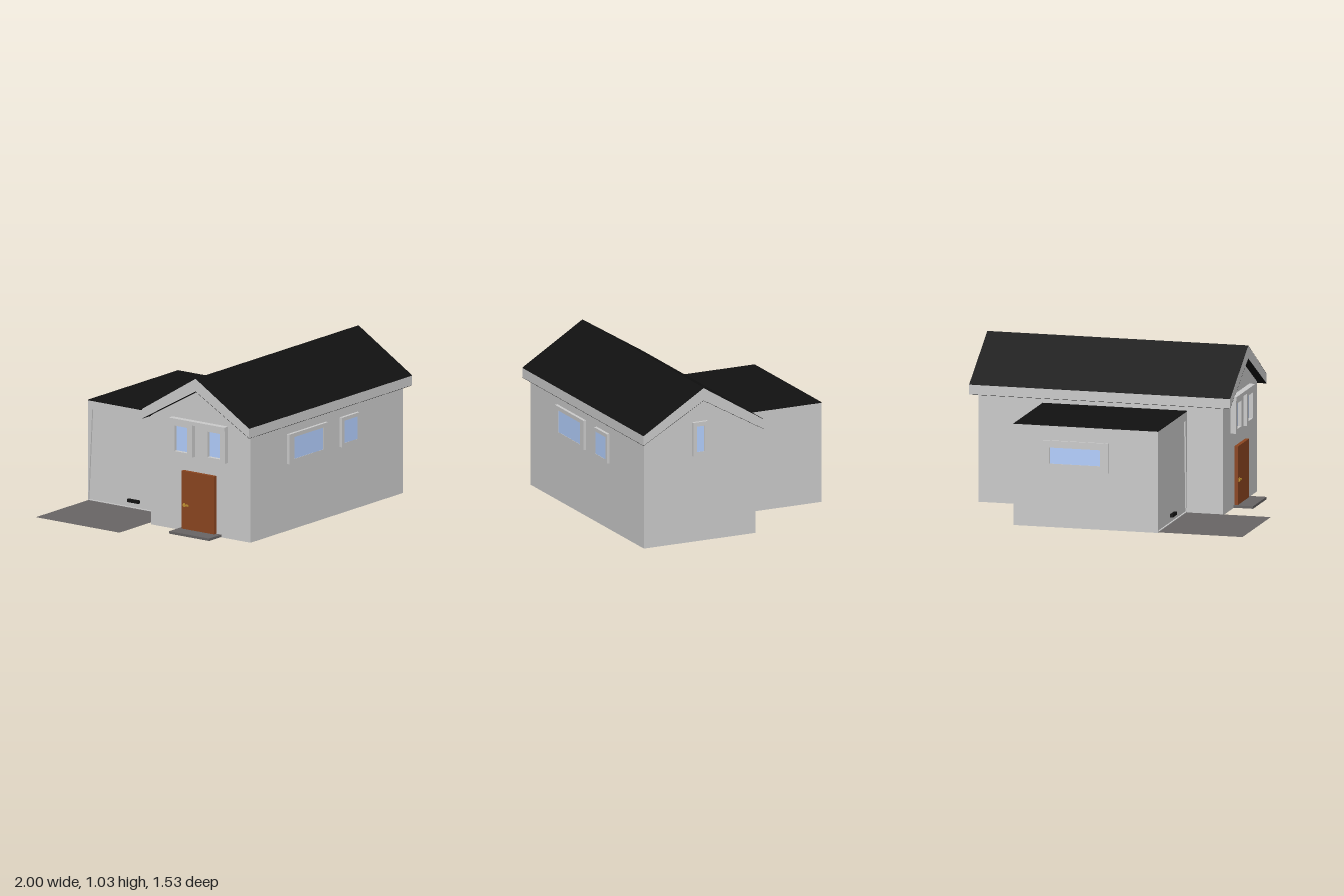
import * as THREE from 'three';

const mat = (color) => new THREE.MeshStandardMaterial({ color, side: THREE.DoubleSide });
const grey = mat(0xcccccc);
const black = mat(0x111111);
const glass = mat(0xb4d0ff);
const brown = mat(0x8c4620);
const brass = mat(0xc09030);
const paving = mat(0x686565);

function add(parent, name, geometry, material) {
  const mesh = new THREE.Mesh(geometry, material);
  mesh.name = name;
  parent.add(mesh);
  return mesh;
}

// box given by its lower and upper limits on each axis
function box(parent, name, [x0, x1], [y0, y1], [z0, z1], material) {
  const m = add(parent, name, new THREE.BoxGeometry(x1 - x0, y1 - y0, z1 - z0), material);
  m.position.set((x0 + x1) / 2, (y0 + y1) / 2, (z0 + z1) / 2);
  return m;
}

const toShape = (points) => new THREE.Shape(points.map(([a, b]) => new THREE.Vector2(a, b)));

// extrude a (z, y) outline along x from x0 to x1
function alongX(shape, x0, x1) {
  return new THREE.ExtrudeGeometry(shape, { depth: x1 - x0, bevelEnabled: false })
    .rotateY(-Math.PI / 2)
    .translate(x1, 0, 0);
}

// framed window facing +z before it is turned; its back lies on the wall
function addWindow(parent, name, { at, turn, w, h, mx, my, depth, recess }) {
  const group = new THREE.Group();
  group.name = name;
  const rect = (a, b) => [[-a, -b], [a, -b], [a, b], [-a, b]];
  const frame = toShape(rect(w / 2, h / 2));
  frame.holes.push(toShape(rect(w / 2 - mx, h / 2 - my)));
  add(group, 'windowFrame', new THREE.ExtrudeGeometry(frame, { depth, bevelEnabled: false }), grey);
  const pane = add(group, 'windowGlass', new THREE.PlaneGeometry(w - 2 * mx, h - 2 * my), glass);
  pane.position.z = depth - recess;
  group.position.set(...at);
  group.rotation.y = turn;
  parent.add(group);
}

export function createModel() {
  const house = new THREE.Group();
  house.name = 'house';
  const ridge = 0.335;

  // main block with gable ends
  const walls = toShape([[-0.065, 0], [0.735, 0], [0.735, 0.722], [ridge, 0.95], [-0.065, 0.722]]);
  add(house, 'mainWalls', alongX(walls, -0.68, 0.945), grey);

  // gabled roof: grey fascia body with dark upper and lower skins
  const roof = new THREE.Group();
  roof.name = 'roof';
  house.add(roof);
  const rx0 = -0.735, rx1 = 1;
  const fascia = toShape([
    [-0.095, 0.705], [ridge, 0.95], [0.765, 0.705],
    [0.765, 0.768], [ridge, 1.033], [-0.095, 0.768],
  ]);
  add(roof, 'roofFascia', alongX(fascia, rx0, rx1), grey);
  const skin = (name, eaveY, ridgeY) => {
    const s = toShape([
      [-0.095, eaveY], [ridge, ridgeY], [0.765, eaveY],
      [0.765, eaveY + 0.002], [ridge, ridgeY + 0.002], [-0.095, eaveY + 0.002],
    ]);
    add(roof, name, alongX(s, rx0, rx1), black);
  };
  skin('roofCovering', 0.768, 1.033);
  skin('roofUnderside', 0.703, 0.948);

  // garage with flat dark roof
  const garage = new THREE.Group();
  garage.name = 'garage';
  house.add(garage);
  box(garage, 'garageWalls', [-0.43, 0.52], [0.005, 0.666], [-0.75, -0.065], grey);
  box(garage, 'garageRoof', [-0.44, 0.52], [0.666, 0.67], [-0.75, -0.065], black);

  // surround that leaves the garage door slightly set back
  const surround = toShape([[-0.75, 0.005], [-0.065, 0.005], [-0.065, 0.666], [-0.75, 0.666]]);
  surround.holes.push(toShape([[-0.745, 0.012], [-0.07, 0.012], [-0.1, 0.61], [-0.715, 0.61]]));
  add(garage, 'garageDoorSurround', alongX(surround, -0.44, -0.43), grey);
  box(garage, 'garageDoorHandle', [-0.45, -0.43], [0.045, 0.065], [-0.43, -0.34], black);

  // driveway and doorstep
  const drive = add(house, 'driveway', new THREE.PlaneGeometry(0.56, 0.67).rotateX(-Math.PI / 2), paving);
  drive.position.set(-0.72, 0.008, -0.41);
  box(house, 'doorstep', [-0.81, -0.58], [0.002, 0.018], [0.18, 0.5], paving);

  // entrance door with lever handle
  box(house, 'frontDoor', [-0.705, -0.68], [0.018, 0.4], [0.2, 0.46], brown);
  box(house, 'doorHandlePlate', [-0.709, -0.705], [0.165, 0.19], [0.215, 0.23], brass);
  box(house, 'doorHandleLever', [-0.715, -0.709], [0.172, 0.183], [0.215, 0.26], brass);

  // windows on the long front wall
  addWindow(house, 'wideFrontWindow', {
    at: [-0.087, 0.54, 0.735], turn: 0, w: 0.413, h: 0.196, mx: 0.052, my: 0.026, depth: 0.02, recess: 0.002,
  });
  addWindow(house, 'smallFrontWindow', {
    at: [0.362, 0.538, 0.735], turn: 0, w: 0.186, h: 0.196, mx: 0.022, my: 0.024, depth: 0.02, recess: 0.002,
  });

  // tall gable window and garage back window
  addWindow(house, 'gableWindow', {
    at: [0.945, 0.685, 0.338], turn: Math.PI / 2, w: 0.104, h: 0.226, mx: 0.026, my: 0.028, depth: 0.02, recess: 0.002,
  });
  addWindow(house, 'garageWindow', {
    at: [0.11, 0.474, -0.75], turn: Math.PI, w: 0.445, h: 0.195, mx: 0.055, my: 0.045, depth: 0.012, recess: 0.002,
  });

  // paired windows above the door under a shared header
  for (const z of [0.2, 0.465]) {
    addWindow(house, 'upperWindow', {
      at: [-0.68, 0.608, z], turn: -Math.PI / 2, w: 0.18, h: 0.216, mx: 0.04, my: 0.024, depth: 0.035, recess: 0.025,
    });
  }
  box(house, 'windowHeader', [-0.72, -0.68], [0.715, 0.74], [0.11, 0.555], grey);

  return house;
}
